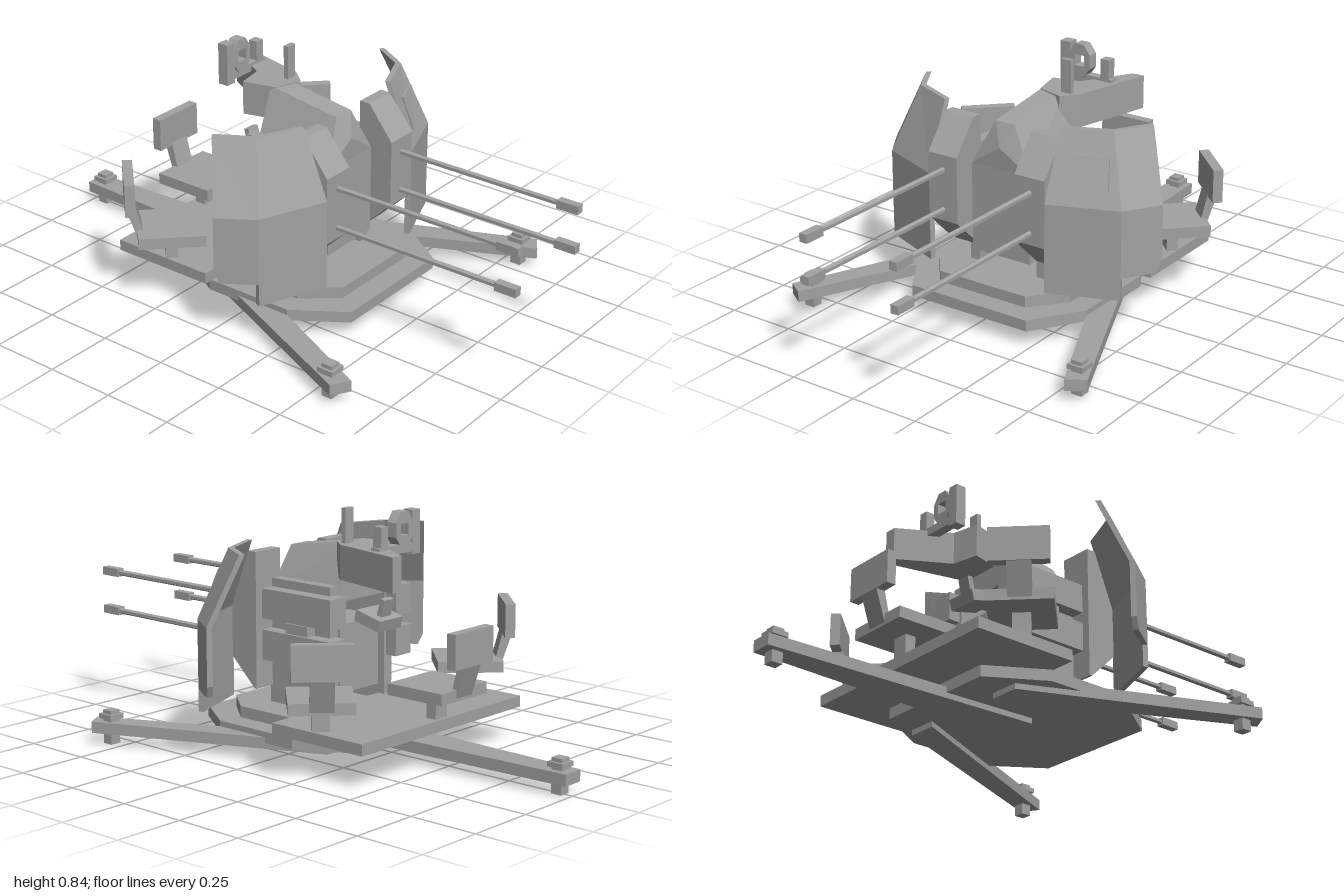
import * as THREE from 'three';

export function createModel() {
  const root = new THREE.Group();
  root.name = 'towedGunMount';
  const grey = new THREE.MeshStandardMaterial({ color: 0xa2a2a2 });
  grey.name = 'grey';

  // Every part is faceted, so geometries are split into flat triangles.
  function flat(geo) {
    const g = geo.index ? geo.toNonIndexed() : geo;
    g.computeVertexNormals();
    return g;
  }
  function add(name, geo) {
    const mesh = new THREE.Mesh(flat(geo), grey);
    mesh.name = name;
    root.add(mesh);
    return mesh;
  }
  // Copy reflected across x = 0 with the corner order restored.
  function mirrored(geo) {
    const g = geo.index ? geo.toNonIndexed() : geo.clone();
    const p = g.attributes.position;
    for (let i = 0; i < p.count; i += 3) {
      const v = [0, 2, 1].map(k => new THREE.Vector3().fromBufferAttribute(p, i + k));
      v.forEach((q, k) => p.setXYZ(i + k, -q.x, q.y, q.z));
    }
    return g;
  }
  function pair(name, geo) {
    add(name + 'Left', geo);
    add(name + 'Right', mirrored(geo));
  }
  // Box from its extents.
  function box(x0, x1, y0, y1, z0, z1) {
    return new THREE.BoxGeometry(x1 - x0, y1 - y0, z1 - z0)
      .translate((x0 + x1) / 2, (y0 + y1) / 2, (z0 + z1) / 2);
  }
  const shape = pts => new THREE.Shape(pts.map(p => new THREE.Vector2(...p)));
  // Plan outline (x, z) raised from y0 to y1.
  function plan(pts, y0, y1) {
    return new THREE.ExtrudeGeometry(shape(pts), { depth: y1 - y0, bevelEnabled: false })
      .rotateX(Math.PI / 2).translate(0, y1, 0);
  }
  // Side outline (z, y) spanning x0 to x1.
  function side(pts, x0, x1) {
    return new THREE.ExtrudeGeometry(shape(pts), { depth: x1 - x0, bevelEnabled: false })
      .rotateY(-Math.PI / 2).translate(x1, 0, 0);
  }
  // Thick sheet: rows of points bottom to top, each running from inner to outer edge.
  function sheet(rows, off) {
    const n = rows[0].length, m = rows.length, pos = [], idx = [];
    for (const o of [[0, 0, 0], off])
      for (const r of rows) for (const p of r) pos.push(p[0] + o[0], p[1] + o[1], p[2] + o[2]);
    const quad = (a, b, c, d) => idx.push(a, b, c, a, c, d);
    const at = (j, i, k = 0) => k * n * m + j * n + i;
    for (let j = 0; j < m - 1; j++) {
      for (let i = 0; i < n - 1; i++) {
        quad(at(j, i), at(j, i + 1), at(j + 1, i + 1), at(j + 1, i));
        quad(at(j, i, 1), at(j + 1, i, 1), at(j + 1, i + 1, 1), at(j, i + 1, 1));
      }
      quad(at(j, 0, 1), at(j, 0), at(j + 1, 0), at(j + 1, 0, 1));
      quad(at(j, n - 1), at(j, n - 1, 1), at(j + 1, n - 1, 1), at(j + 1, n - 1));
    }
    for (let i = 0; i < n - 1; i++) {
      quad(at(0, i, 1), at(0, i + 1, 1), at(0, i + 1), at(0, i));
      quad(at(m - 1, i), at(m - 1, i + 1), at(m - 1, i + 1, 1), at(m - 1, i, 1));
    }
    const g = new THREE.BufferGeometry();
    g.setAttribute('position', new THREE.Float32BufferAttribute(pos, 3));
    g.setIndex(idx);
    return g;
  }

  // Outriggers and screw feet
  add('rearLeg', plan([[-0.08, 0.04], [0.08, 0.04], [0.04, -1], [-0.04, -1]], 0.04, 0.08));
  pair('frontLeg', plan([[0.16, -0.2], [0.27, -0.2], [0.617, 0.595], [0.555, 0.635]], 0.04, 0.08));
  for (const [x, z] of [[0, -0.95], [0.56, 0.555], [-0.56, 0.555]]) {
    add('footScrew', box(x - 0.02, x + 0.02, 0, 0.12, z - 0.02, z + 0.02));
    add('footPlate', box(x - 0.03, x + 0.03, 0.09, 0.107, z - 0.03, z + 0.03));
  }

  // Base plates and rear platform
  add('basePlate', plan([[-0.24, 0.4], [0.24, 0.4], [0.36, 0.22], [0.36, -0.12],
    [0.24, -0.32], [-0.24, -0.32], [-0.36, -0.12], [-0.36, 0.22]], 0.06, 0.1));
  add('turntable', plan([[-0.18, 0.32], [0.18, 0.32], [0.28, 0.2], [0.28, -0.14],
    [0.18, -0.24], [-0.18, -0.24], [-0.28, -0.14], [-0.28, 0.2]], 0.1, 0.14));
  add('rearPlatform', box(-0.42, 0.42, 0.12, 0.16, -0.48, -0.085));

  // Pedestal and gun cradle
  pair('sideFrame', box(0.12, 0.16, 0.14, 0.58, -0.11, 0.17));
  add('pedestalColumn', box(-0.1, 0.1, 0.2, 0.44, -0.1, 0.1));
  add('pedestalFoot', box(-0.02, 0.02, 0.14, 0.21, -0.05, 0.05));
  add('crossBeam', box(-0.2, 0.2, 0.4, 0.44, -0.04, 0.06));
  add('centreShield', box(-0.12, 0.12, 0.2, 0.52, 0.18, 0.21));

  // Four guns
  for (const y of [0.36, 0.505]) {
    pair('gunReceiver', box(0.13, 0.21, y - 0.06, y + 0.045, -0.155, 0.2));
    pair('gunBreech', box(0.145, 0.195, y - 0.025, y + 0.025, -0.11, 0.26));
    pair('barrel', new THREE.CylinderGeometry(0.011, 0.011, 0.72, 6)
      .rotateX(Math.PI / 2).translate(0.18, y, 0.58));
    pair('muzzle', box(0.165, 0.195, y - 0.015, y + 0.015, 0.92, 1));
  }

  // Inner shields around the barrels
  pair('innerShield', side([[0.17, 0.2], [0.295, 0.32], [0.295, 0.56], [0.2, 0.68],
    [0.16, 0.68], [0.16, 0.2]], 0.12, 0.24));

  // Folded outer shields
  pair('outerShield', sheet([
    [[0.24, 0.16, 0.295], [0.48, 0.16, 0.2]],
    [[0.24, 0.48, 0.295], [0.48, 0.48, 0.2]],
    [[0.24, 0.72, 0.2], [0.4, 0.72, 0.13]],
  ], [-0.006, 0, -0.018]));
  pair('outerShieldWing', sheet([
    [[0.48, 0.24, 0.2], [0.55, 0.24, 0.09]],
    [[0.48, 0.28, 0.2], [0.56, 0.28, 0.075]],
    [[0.48, 0.48, 0.2], [0.56, 0.48, 0.075]],
    [[0.4, 0.72, 0.13], [0.475, 0.72, 0.005]],
  ], [-0.015, 0, -0.012]));
  // Vision flap on the left shield
  add('visionFlap', sheet([
    [[0.31, 0.53, 0.257], [0.43, 0.535, 0.208]],
    [[0.3, 0.645, 0.215], [0.41, 0.645, 0.17]],
  ], [-0.002, 0, -0.008]));

  // Tapered sight housing, a four-sided section swept from front to back
  const section = (w, y, z) => [[0.12, 0.52, z[0]], [w, y, z[1]], [-w, y, z[1]], [-0.12, 0.52, z[0]]];
  add('sightHousing', (() => {
    const f = section(0.04, 0.68, [0.21, 0.18]), b = section(0.04, 0.72, [-0.1, -0.1]);
    const g = new THREE.BufferGeometry();
    g.setAttribute('position', new THREE.Float32BufferAttribute([...f, ...b, [0, 0.6, 0.215]].flat(), 3));
    const idx = [4, 7, 6, 4, 6, 5];
    for (let i = 0; i < 4; i++) {
      const j = (i + 1) % 4;
      idx.push(i, j, 8, i, i + 4, j + 4, i, j + 4, j);
    }
    g.setIndex(idx);
    return g;
  })());

  // Offset sight arm, ring sight and posts
  add('sightArm', plan([[-0.04, -0.08], [0.06, -0.05], [0.11, -0.11], [0.18, -0.4],
    [0.135, -0.4], [0.03, -0.22], [-0.07, -0.2]], 0.6, 0.72));
  const ring = new THREE.Shape();
  for (let i = 0; i < 8; i++) {
    const a = Math.PI / 8 + i * Math.PI / 4;
    ring[i ? 'lineTo' : 'moveTo'](0.065 * Math.cos(a) * 0.72, 0.78 + 0.065 * Math.sin(a));
  }
  ring.holes.push(new THREE.Path([[-0.02, 0.76], [-0.02, 0.8], [0.02, 0.8], [0.02, 0.76]]
    .map(p => new THREE.Vector2(...p))));
  add('ringSight', new THREE.ExtrudeGeometry(ring, { depth: 0.04, bevelEnabled: false })
    .translate(0, 0, -0.3));
  add('ringBracket', box(-0.06, 0.13, 0.7, 0.73, -0.3, -0.265));
  add('ringSidePlate', box(-0.08, -0.04, 0.69, 0.84, -0.3, -0.26));
  add('ringHandle', box(0.085, 0.12, 0.71, 0.8, -0.3, -0.265));
  add('frontSightPost', box(0.04, 0.08, 0.7, 0.84, -0.108, -0.09));

  // Control box behind the cradle
  add('controlBox', new THREE.BoxGeometry(0.12, 0.04, 0.11)
    .rotateX(-0.25).translate(-0.02, 0.455, -0.17));
  add('controlLever', new THREE.BoxGeometry(0.05, 0.07, 0.02)
    .rotateX(-0.25).translate(-0.02, 0.495, -0.2));

  // Seats: built facing +z around their own centre, then turned into place
  function seat(name, x, z, angle, wide) {
    const parts = {
      Cushion: box(-wide, wide, 0.24, 0.28, -0.115, 0.115),
      Post: box(-0.03, 0.03, 0.16, 0.24, -0.02, 0.02),
      BackSupport: side([[-0.09, 0.25], [-0.115, 0.25], [-0.155, 0.37], [-0.12, 0.37]], -0.04, 0.04),
      Backrest: box(-0.1, 0.1, 0.36, 0.48, -0.155, -0.12),
    };
    for (const k in parts) add(name + k, parts[k].rotateY(angle).translate(x, 0, z));
  }
  seat('rearSeat', 0, -0.445, 0, 0.12);
  seat('leftSeat', 0.385, -0.27, -Math.PI / 4, 0.11);
  seat('rightSeat', -0.385, -0.27, Math.PI / 4, 0.11);

  return root;
}
